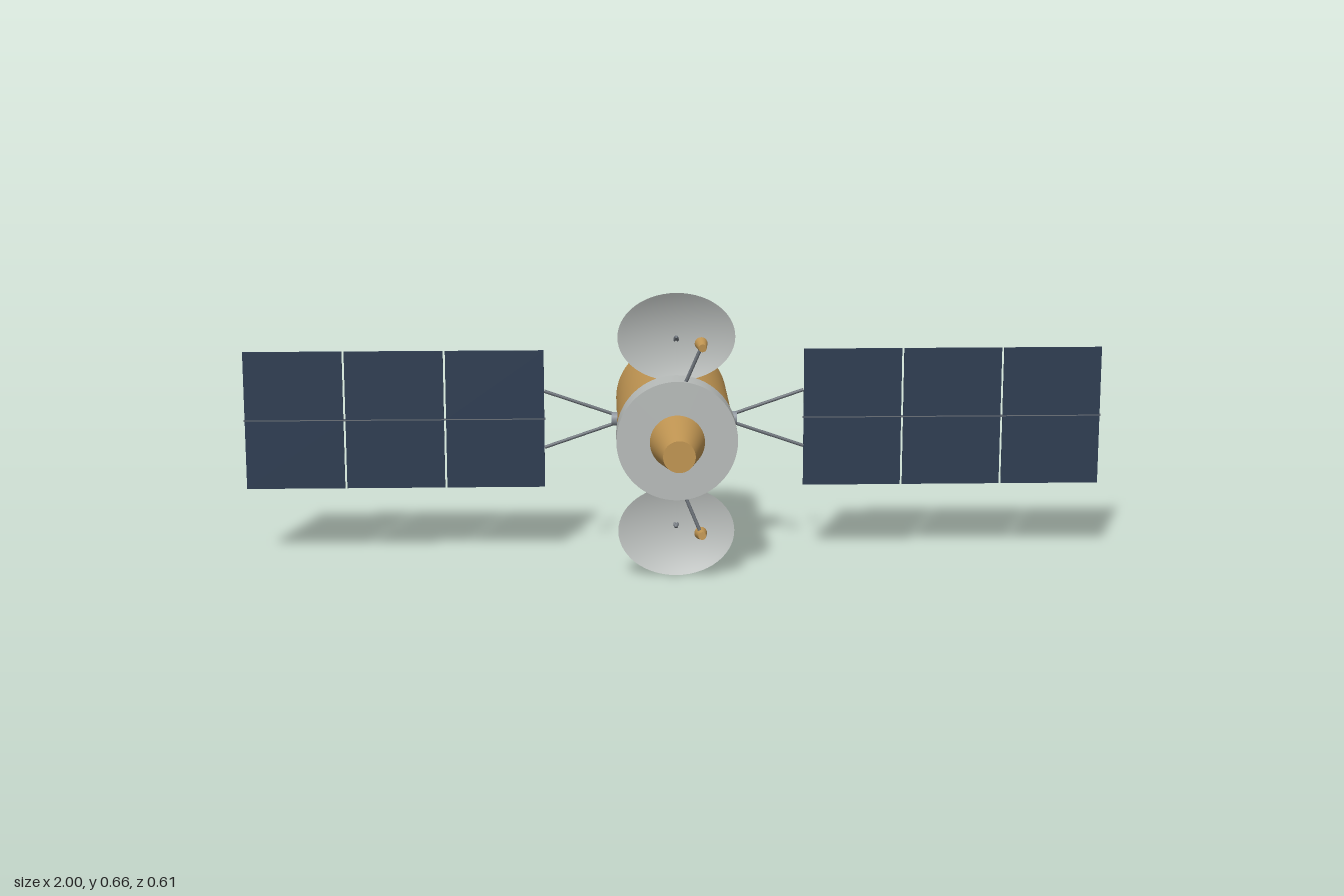
import * as THREE from 'three';

const mat = (name, color, side = THREE.FrontSide) => {
  const m = new THREE.MeshStandardMaterial({ color, side });
  m.name = name;
  return m;
};

export function createModel() {
  const gold = mat('gold foil', 0xc09552);
  const silver = mat('silver', 0xb8bcba);
  const dishMat = mat('dish silver', 0xbbbfbd, THREE.DoubleSide);
  const steel = mat('steel strut', 0x6b7178);
  const hubMat = mat('hub grey', 0x8c939b);
  const navy = mat('solar navy', 0x2e3d52);
  const backing = mat('panel backing', 0x858c92);
  const dark = mat('dark trim', 0x2a2e33);

  const root = new THREE.Group();
  root.name = 'satellite';
  const craft = new THREE.Group();
  craft.name = 'spacecraft';
  craft.position.y = 0.332;
  root.add(craft);

  const add = (parent, name, geometry, material, x = 0, y = 0, z = 0) => {
    const m = new THREE.Mesh(geometry, material);
    m.name = name;
    m.position.set(x, y, z);
    parent.add(m);
    return m;
  };

  // Closed cylinder or cone along z
  const barrel = (name, z0, z1, r0, r1, material) => {
    const g = new THREE.CylinderGeometry(r1, r0, z1 - z0, 64).rotateX(Math.PI / 2);
    return add(craft, name, g, material, 0, 0, (z0 + z1) / 2);
  };

  // Tapered rod between two points: r0 at a, r1 at b
  const rod = (parent, name, a, b, r0, r1, material, sides = 12) => {
    const p = new THREE.Vector3(...a), q = new THREE.Vector3(...b);
    const d = q.clone().sub(p);
    const m = add(parent, name, new THREE.CylinderGeometry(r1, r0, d.length(), sides), material);
    m.position.copy(p).add(q).multiplyScalar(0.5);
    m.quaternion.setFromUnitVectors(new THREE.Vector3(0, 1, 0), d.normalize());
    return m;
  };

  // Main hull, front collar and front horn
  barrel('hull', -0.302, 0.084, 0.133, 0.133, gold);
  barrel('frontCollar', 0.083, 0.155, 0.137, 0.137, silver);
  barrel('frontHorn', 0.165, 0.303, 0.062, 0.036, gold);

  // Dish antennas above and below
  const profile = [];
  for (let i = 0; i <= 12; i++) {
    const r = i / 12;
    profile.push(new THREE.Vector2(r, 0.022 * (r * r - 1)));
  }
  const dishGeo = new THREE.LatheGeometry(profile, 56);
  dishGeo.scale(0.133, 1, 0.1035).rotateX(Math.PI / 2);
  dishGeo.computeVertexNormals();

  for (const s of [1, -1]) {
    const antenna = new THREE.Group();
    antenna.name = s > 0 ? 'upperAntenna' : 'lowerAntenna';
    if (s < 0) antenna.rotation.z = Math.PI;
    craft.add(antenna);

    const dish = add(antenna, 'dish', dishGeo, dishMat, 0, 0.226, 0.09);
    dish.rotation.x = 0.097;

    for (const side of [1, -1]) {
      rod(antenna, 'dishStrut', [0, 0.223, 0.071], [side * 0.04, 0.127, -0.005], 0.004, 0.004, steel);
    }
    // Feed horn on its mast, on the same x side for both antennas
    rod(antenna, 'feedMast', [s * 0.018, 0.13, 0.142], [s * 0.054, 0.216, 0.152], 0.004, 0.004, steel);
    rod(antenna, 'feedHorn', [s * 0.054, 0.22, 0.133], [s * 0.056, 0.2165, 0.172], 0.0145, 0.009, gold, 24);
  }

  // Solar wings: three columns by two rows
  const zWing = -0.075, gap = 0.005;
  const colW = 0.7 / 3, rowH = 0.164;
  const cellW = colW - gap, cellH = rowH - gap / 2;
  for (const s of [1, -1]) {
    const wing = new THREE.Group();
    wing.name = s > 0 ? 'leftWing' : 'rightWing';
    wing.position.z = zWing;
    craft.add(wing);

    // Hub on the hull side and the two booms
    const hub = add(wing, 'wingHub', new THREE.CylinderGeometry(0.016, 0.016, 0.018, 24), hubMat, s * 0.137);
    hub.rotation.z = Math.PI / 2;
    for (const v of [1, -1]) {
      rod(wing, 'wingBoom', [s * 0.137, v * 0.01, 0], [s * 0.302, v * 0.067, 0], 0.004, 0.004, steel);
    }

    // Spine between the two rows
    add(wing, 'wingSpine', new THREE.BoxGeometry(0.7, 0.005, 0.003), steel, s * 0.65, 0.001, 0);

    for (let c = 0; c < 3; c++) {
      const x = s * (0.3 + colW * (c + 0.5));
      for (const v of [1, -1]) {
        const y = v * rowH / 2 + 0.001;
        add(wing, 'solarPanel', new THREE.BoxGeometry(cellW, cellH, 0.004), navy, x, y, 0);
        add(wing, 'panelBacking', new THREE.BoxGeometry(cellW - 0.004, cellH - 0.004, 0.001), backing, x, y, -0.0022);
        // Dashed seams on the back
        for (const e of [1, -1]) {
          for (let i = 0; i < 12; i++) {
            add(wing, 'backSeam', new THREE.BoxGeometry(0.008, 0.002, 0.0006), dark,
              x + (i - 5.5) * cellW / 12, y + e * 0.054, -0.0028);
          }
        }
      }
    }
  }
  return root;
}
